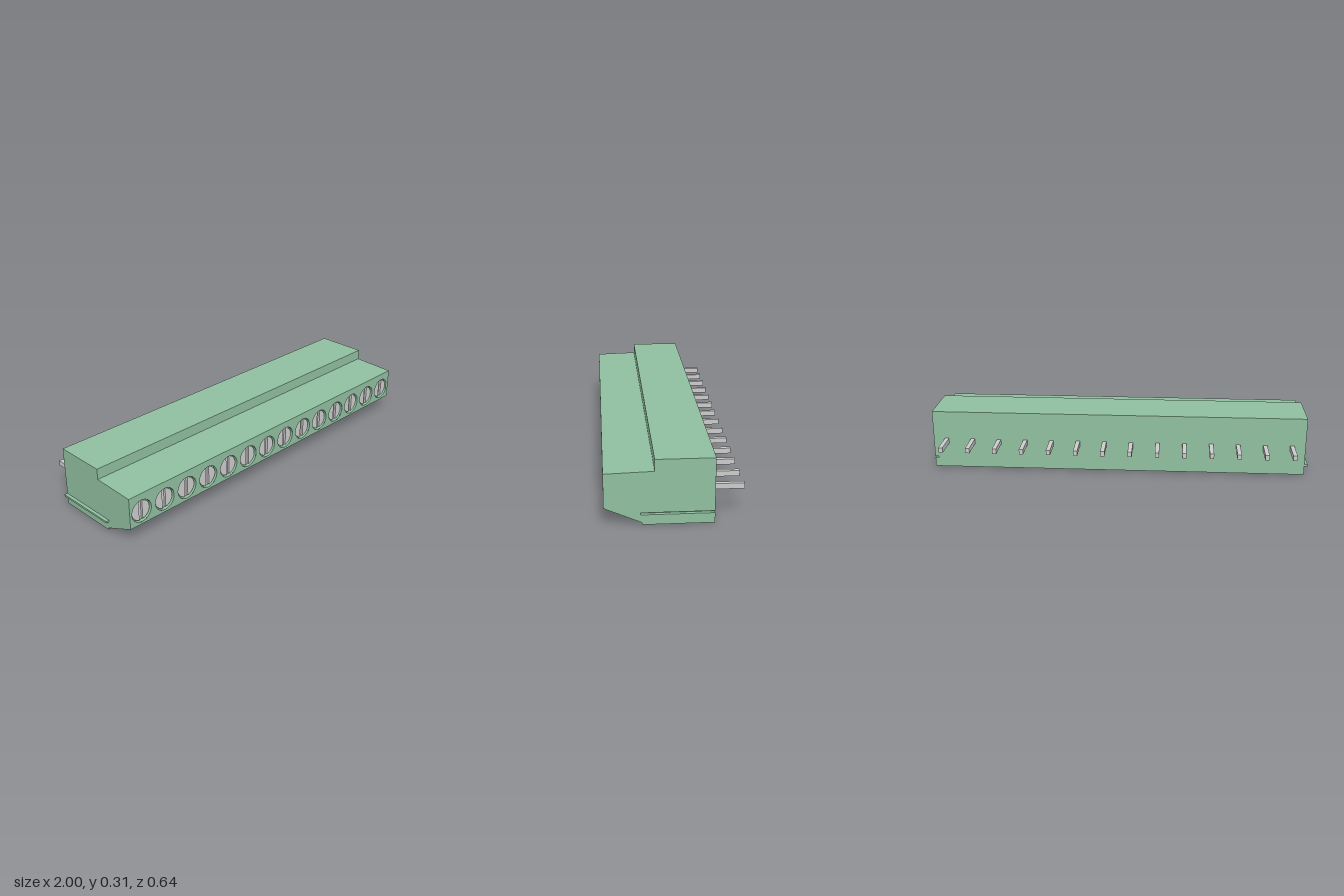
import * as THREE from 'three';

const COUNT = 14, X0 = -0.983, X1 = 0.982, XEND = 1;
const PITCH = (XEND - X0) / COUNT;
const SCREW_Y = 0.156, HOLE_R = 0.058, SCREW_R = 0.052;
const POCKET = { w: 0.113, h: 0.2, d: 0.12, z: -0.025 };

// Side outline as (z, y): bottom, front, top, back
const PROFILE = [
  [-0.18, 0], [0.148, 0], [0.148, 0.01], [0.32, 0.085],
  [0.32, 0.25], [0.092, 0.257], [0.092, 0.313], [-0.18, 0.313],
];
const GROOVE = [[-0.18, 0.058], [0.155, 0.058], [0.155, 0.048], [-0.18, 0.048]];

const green = new THREE.MeshStandardMaterial({ color: 0x8fbf9f });
const greenThin = new THREE.MeshStandardMaterial({ color: 0x8fbf9f, side: THREE.DoubleSide });
const grey = new THREE.MeshStandardMaterial({ color: 0xcccccc });

const V = (x, y, z) => new THREE.Vector3(x, y, z);
const polygon = (pts) => new THREE.Shape(pts.map(([a, b]) => new THREE.Vector2(a, b)));

function add(parent, name, geometry, material, x = 0, y = 0, z = 0) {
  const mesh = new THREE.Mesh(geometry, material);
  mesh.name = name;
  mesh.position.set(x, y, z);
  parent.add(mesh);
  return mesh;
}

// Turn a closed shape inside out so that it reads as a cavity
function inward(geometry) {
  geometry.scale(-1, 1, 1);
  geometry.computeVertexNormals();
  return geometry;
}

// Stand a flat (z, y) geometry up in the side plane, with its front towards -x
const toSide = (g) => g.applyMatrix4(
  new THREE.Matrix4().makeBasis(V(0, 0, 1), V(0, 1, 0), V(-1, 0, 0)));

// Long flat panel along one edge of the outline, with optional holes
function panel(a, b, holes) {
  const dir = V(0, b[1] - a[1], b[0] - a[0]);
  const len = dir.length();
  dir.normalize();
  const shape = polygon([[X0, 0], [X1, 0], [X1, len], [X0, len]]);
  shape.holes.push(...holes);
  const u = V(1, 0, 0);
  const m = new THREE.Matrix4().makeBasis(u, dir, u.clone().cross(dir));
  m.setPosition(0, a[1], a[0]);
  return new THREE.ShapeGeometry(shape, 32).applyMatrix4(m);
}

export function createModel() {
  const model = new THREE.Group();
  model.name = 'terminalBlock';
  const housing = new THREE.Group();
  housing.name = 'housing';
  model.add(housing);

  const centres = Array.from({ length: COUNT }, (_, i) => X0 + PITCH * (i + 0.5));

  // Openings in the bottom and front panels
  const pocketHoles = centres.map((x) => {
    const l = x - POCKET.w / 2, r = x + POCKET.w / 2;
    const t0 = POCKET.z - POCKET.d / 2 + 0.18, t1 = t0 + POCKET.d;
    return polygon([[l, t0], [l, t1], [r, t1], [r, t0]]);
  });
  const screwHoles = centres.map((x) =>
    new THREE.Path().absarc(x, SCREW_Y - 0.085, HOLE_R, 0, Math.PI * 2, true));

  // Housing skin
  PROFILE.forEach((a, i) => {
    const b = PROFILE[(i + 1) % PROFILE.length];
    const holes = i === 0 ? pocketHoles : i === 3 ? screwHoles : [];
    add(housing, 'housingPanel' + (i + 1), panel(a, b, holes), green);
  });
  for (const x of [X0, X1]) {
    add(housing, 'endWall', toSide(new THREE.ShapeGeometry(polygon(PROFILE))), greenThin, x);
  }

  // Grooved left end and the matching rail on the right end
  const grooved = new THREE.ExtrudeGeometry(polygon([...PROFILE, ...GROOVE]),
    { depth: XEND - X1, bevelEnabled: false });
  add(housing, 'groovedEnd', toSide(grooved), green, XEND);
  add(housing, 'rail', new THREE.BoxGeometry(0.017, 0.01, 0.335), green, -0.9915, 0.053, -0.0125);

  // Wire pocket: a box open at the bottom
  const pocketGeo = new THREE.BoxGeometry(POCKET.w, POCKET.h, POCKET.d);
  const idx = Array.from(pocketGeo.index.array);
  pocketGeo.setIndex([...idx.slice(0, 18), ...idx.slice(24)]);
  inward(pocketGeo);

  // Screw recess wall and floor
  const recessGeo = inward(new THREE.CylinderGeometry(HOLE_R, HOLE_R, 0.02, 32, 1, true).rotateX(Math.PI / 2));
  const ringGeo = new THREE.RingGeometry(SCREW_R - 0.002, HOLE_R, 32);

  // Half of the slotted screw head
  const halfAngle = Math.acos(0.01 / SCREW_R);
  const halfShape = new THREE.Shape().absarc(0, 0, SCREW_R, -halfAngle, halfAngle, false);
  const halfGeo = new THREE.ExtrudeGeometry(halfShape,
    { depth: 0.012, bevelEnabled: false, curveSegments: 16 });
  const slotGeo = new THREE.CircleGeometry(SCREW_R, 32);
  const pinGeo = new THREE.BoxGeometry(0.022, 0.027, 0.14);

  for (const x of centres) {
    add(housing, 'wirePocket', pocketGeo, green, x, POCKET.h / 2, POCKET.z);
    add(housing, 'screwRecess', recessGeo, green, x, SCREW_Y, 0.31);
    add(housing, 'recessFloor', ringGeo, green, x, SCREW_Y, 0.301);

    const screw = new THREE.Group();
    screw.name = 'screw';
    screw.position.set(x, SCREW_Y, 0.3);
    add(screw, 'slotFloor', slotGeo, grey);
    add(screw, 'headHalfLeft', halfGeo, grey);
    add(screw, 'headHalfRight', halfGeo, grey).rotation.z = Math.PI;
    model.add(screw);

    add(model, 'pin', pinGeo, grey, x, 0.149, -0.25);
  }
  return model;
}
